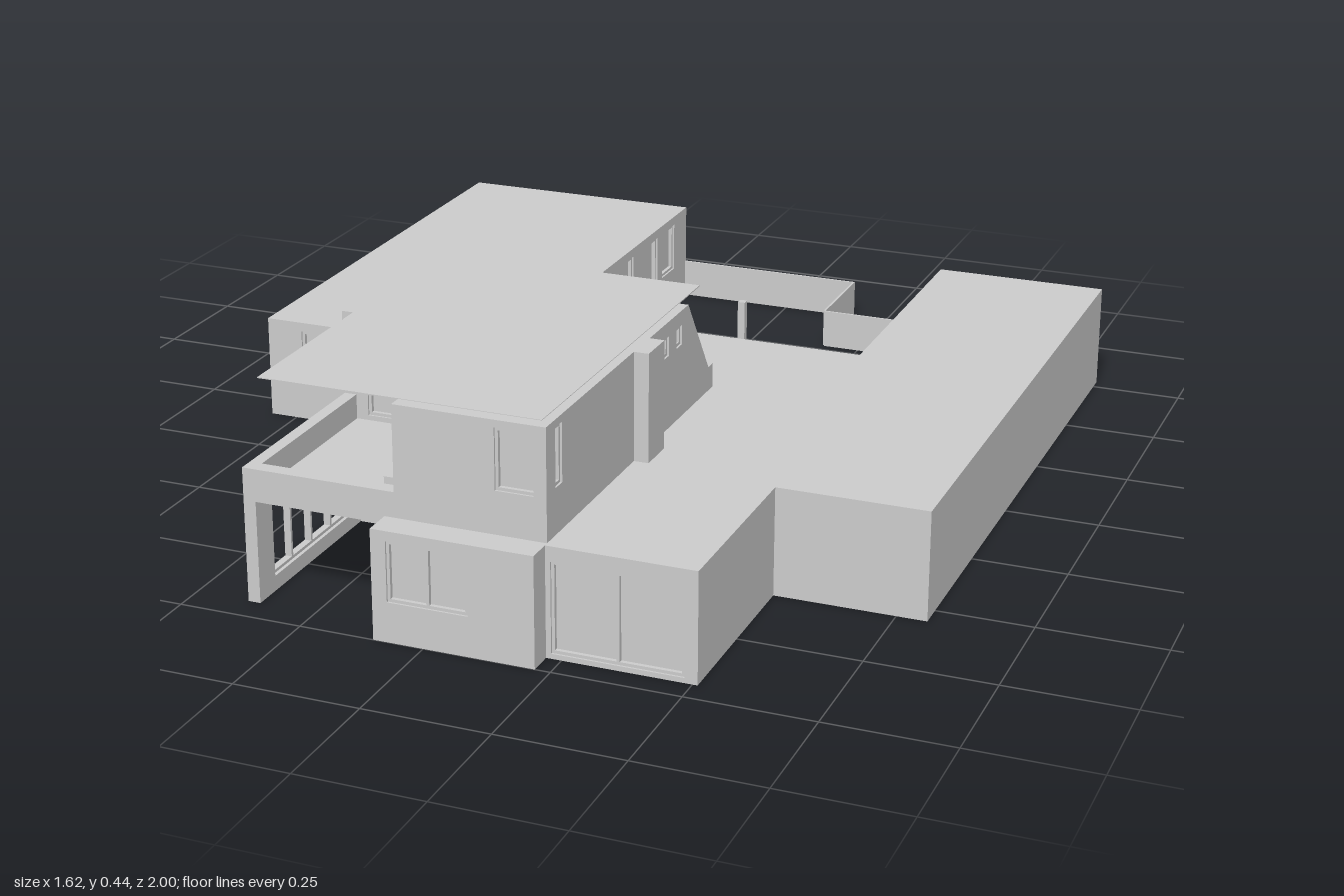
import * as THREE from 'three';

const material = new THREE.MeshStandardMaterial({ color: 0xcccccc, side: THREE.DoubleSide });
const GROUND_TOP = 0.22, UPPER_TOP = 0.44;

export function createModel() {
  const house = new THREE.Group();
  house.name = 'house';

  function add(name, geometry, parent = house) {
    const mesh = new THREE.Mesh(geometry, material);
    mesh.name = name;
    parent.add(mesh);
    return mesh;
  }

  // Box given by its minimum and maximum corners
  function box(name, x0, x1, y0, y1, z0, z1, parent = house) {
    const mesh = add(name, new THREE.BoxGeometry(x1 - x0, y1 - y0, z1 - z0), parent);
    mesh.position.set((x0 + x1) / 2, (y0 + y1) / 2, (z0 + z1) / 2);
    return mesh;
  }

  // Horizontal plate from a plan outline of [x, z] points
  function plate(name, outline, y0, y1) {
    const shape = new THREE.Shape(outline.map(([x, z]) => new THREE.Vector2(x, -z)));
    const geometry = new THREE.ExtrudeGeometry(shape, { depth: y1 - y0, bevelEnabled: false });
    geometry.rotateX(-Math.PI / 2);
    add(name, geometry).position.y = y0;
  }

  // Wall from plan point a to b, thickened inward. Each opening is
  // { from, to (along the wall's world axis), y0, y1, panes, open }.
  function wall(name, a, b, profile, openings = [], thickness = 0.025) {
    const dx = b[0] - a[0], dz = b[1] - a[1], length = Math.hypot(dx, dz);
    const outline = typeof profile[0] === 'number'
      ? [[0, profile[0]], [length, profile[0]], [length, profile[1]], [0, profile[1]]] : profile;
    const group = new THREE.Group();
    group.name = name;
    group.position.set(a[0], 0, a[1]);
    group.rotation.y = Math.atan2(-dz, dx);
    house.add(group);

    const shape = new THREE.Shape(outline.map(([u, y]) => new THREE.Vector2(u, y)));
    const start = Math.abs(dx) > Math.abs(dz) ? a[0] : a[1];
    for (const { from, to, y0, y1, panes = 1, open = false } of openings) {
      const u0 = Math.min(Math.abs(from - start), Math.abs(to - start));
      const u1 = Math.max(Math.abs(from - start), Math.abs(to - start));
      const hole = new THREE.Path();
      hole.moveTo(u0, y0).lineTo(u0, y1).lineTo(u1, y1).lineTo(u1, y0).closePath();
      shape.holes.push(hole);
      if (!open) box('windowPane', u0, u1, y0, y1, 0.012, 0.014, group);
      // Frame bars at the ends and between panes
      for (let i = 0; i <= panes; i++) {
        const u = u0 + 0.003 + ((u1 - u0 - 0.006) * i) / panes;
        box('windowPost', u - 0.003, u + 0.003, y0, y1, 0.004, 0.018, group);
      }
      for (const y of [y0, y1 - 0.006]) box('windowRail', u0, u1, y, y + 0.006, 0.004, 0.018, group);
    }
    add(name + 'Panel', new THREE.ExtrudeGeometry(shape, { depth: thickness, bevelEnabled: false }), group);
  }

  const win = (from, to, y0, y1, panes, open) => ({ from, to, y0, y1, panes, open });

  // Ground storey: outline walked with the interior on the inner side
  const plan = [
    [-0.81, -1], [-0.26, -1], [-0.26, -0.18], [0.44, -0.18], [0.44, -0.78], [0.81, -0.78],
    [0.81, 0.55], [0.51, 0.55], [0.51, 0.95], [0.22, 0.95], [0.22, 1], [-0.1, 1],
    [-0.1, 0.53], [-0.39, 0.53], [-0.39, 0.08], [-0.81, 0.08],
  ];
  const groundOpenings = {
    1: [win(-0.92, -0.84, 0.09, 0.2), win(-0.81, -0.73, 0.09, 0.2), win(-0.66, -0.58, 0.09, 0.2),
      win(-0.46, -0.39, 0.01, 0.19), win(-0.35, -0.22, 0.01, 0.19, 2)],
    2: [win(-0.22, -0.08, 0.01, 0.19, 2), win(-0.07, 0, 0.01, 0.19), win(0.03, 0.41, 0.01, 0.19, 4)],
    3: [win(-0.26, -0.19, 0.01, 0.19), win(-0.48, -0.3, 0.01, 0.19, 2), win(-0.75, -0.69, 0.08, 0.19)],
    8: [win(0.485, 0.23, 0.01, 0.19, 2)],
    10: [win(-0.07, 0.09, 0.08, 0.2, 2)],
    12: [win(-0.15, -0.11, 0.01, 0.18)],
    14: [win(-0.73, -0.665, 0.08, 0.2)],
    15: [win(-0.92, -0.72, 0.01, 0.19, 2), win(-0.62, -0.54, 0.01, 0.19),
      win(-0.46, -0.34, 0.01, 0.19, 2), win(-0.25, -0.13, 0.01, 0.19, 2)],
  };
  plan.forEach((p, i) => wall('groundWall', p, plan[(i + 1) % plan.length], [0, GROUND_TOP], groundOpenings[i]));
  plate('groundFloor', plan, 0, 0.008);
  const roofPlan = plan.map(([x, z]) => (z === 0.53 ? [x, 0.94] : [x, z]));
  plate('groundRoof', roofPlan, 0.205, GROUND_TOP);

  // Slim frames standing proud of the garden doors
  for (const z of [-0.71, -0.53, -0.33, -0.12]) box('doorJamb', -0.815, -0.8, 0, 0.19, z - 0.008, z + 0.008);

  // Carport side wall, open between posts
  wall('carportWall', [-0.39, 0.94], [-0.39, 0.53], [0, GROUND_TOP], [win(0.88, 0.56, 0.03, 0.19, 4, true)]);

  // Courtyard: paving, posts, low garden wall and doors standing ajar
  box('courtyardPaving', 0.05, 0.44, 0, 0.008, -0.48, -0.18);
  for (const x of [0.08, 0.432]) box('courtyardPost', x - 0.008, x + 0.008, 0, 0.2, -0.468, -0.452);
  box('gardenWall', -0.26, 0.17, 0, 0.085, -1, -0.995);
  box('gardenWall', 0.165, 0.17, 0, 0.085, -1, -0.78);
  box('gardenWall', 0.17, 0.44, 0, 0.085, -0.78, -0.775);
  for (const [x0, z0, x1, z1] of [[-0.26, -0.46, -0.21, -0.41], [-0.07, -0.18, -0.02, -0.23], [0.44, -0.19, 0.39, -0.24]]) {
    const leaf = add('openDoor', new THREE.BoxGeometry(Math.hypot(x1 - x0, z1 - z0), 0.18, 0.004));
    leaf.position.set((x0 + x1) / 2, 0.1, (z0 + z1) / 2);
    leaf.rotation.y = Math.atan2(z0 - z1, x1 - x0);
  }

  // Upper storey: side walls slope down towards the back
  const y0 = GROUND_TOP, y1 = UPPER_TOP, rim = 0.27;
  const slope = (length) => [[0, y0], [length, y0], [length, y1], [0.115, y1], [0, rim]];
  wall('upperRightSideWall', [0.22, 0.13], [0.22, 0.94], slope(0.81), [
    ...[0.435, 0.365, 0.295].map((z) => win(z - 0.015, z + 0.015, 0.37, 0.41)),
    win(0.87, 0.9, 0.31, 0.425),
  ]);
  wall('upperLeftSideWall', [-0.39, 0.53], [-0.39, 0.13],
    [[0, y0], [0.4, y0], [0.4, rim], [0.285, y1], [0, y1]],
    [win(0.3, 0.38, 0.29, 0.41), win(0.41, 0.49, 0.29, 0.41)]);
  wall('partition', [-0.07, 0.13], [-0.07, 0.53], slope(0.4), [], 0.012);
  wall('upperFrontWall', [0.22, 0.94], [-0.08, 0.94], [y0, y1], [win(0.2, 0.12, 0.305, 0.425)], 0.03);
  wall('terraceSideWall', [-0.08, 0.94], [-0.08, 0.53], [y0, y1], [win(0.74, 0.64, 0.23, 0.41)]);
  wall('terraceRearWall', [-0.08, 0.53], [-0.39, 0.53], [y0, y1], [win(-0.13, -0.34, 0.23, 0.41, 3)]);
  box('chimney', 0.22, 0.25, y0, y1, 0.45, 0.53);
  box('upperRoof', -0.365, 0.2, y1 - 0.001, y1 + 0.001, 0.13, 0.912);

  // Parapets
  wall('rearParapet', [-0.39, 0.105], [0.22, 0.105], [y0, rim]);
  wall('terraceFrontParapet', [-0.08, 0.94], [-0.39, 0.94], [y0, rim], [], 0.03);
  wall('terraceSideParapet', [-0.39, 0.94], [-0.39, 0.53], [y0, rim]);

  // Furnishings behind the open sloping end, and a terrace bench
  box('sofaSeat', 0.02, 0.14, y0, 0.245, 0.32, 0.37);
  box('sofaBack', 0.02, 0.14, y0, 0.275, 0.37, 0.385);
  box('lowTable', 0.05, 0.11, y0, 0.24, 0.24, 0.28);
  box('bed', -0.3, -0.18, y0, 0.25, 0.32, 0.48);
  box('terraceBench', -0.13, -0.085, y0, 0.27, 0.78, 0.88);
  const lamp = add('ceilingLamp', new THREE.SphereGeometry(0.007, 12, 8));
  lamp.position.set(-0.31, 0.42, 0.2);
  box('lampCord', -0.311, -0.309, 0.42, y1, 0.199, 0.201);

  return house;
}
